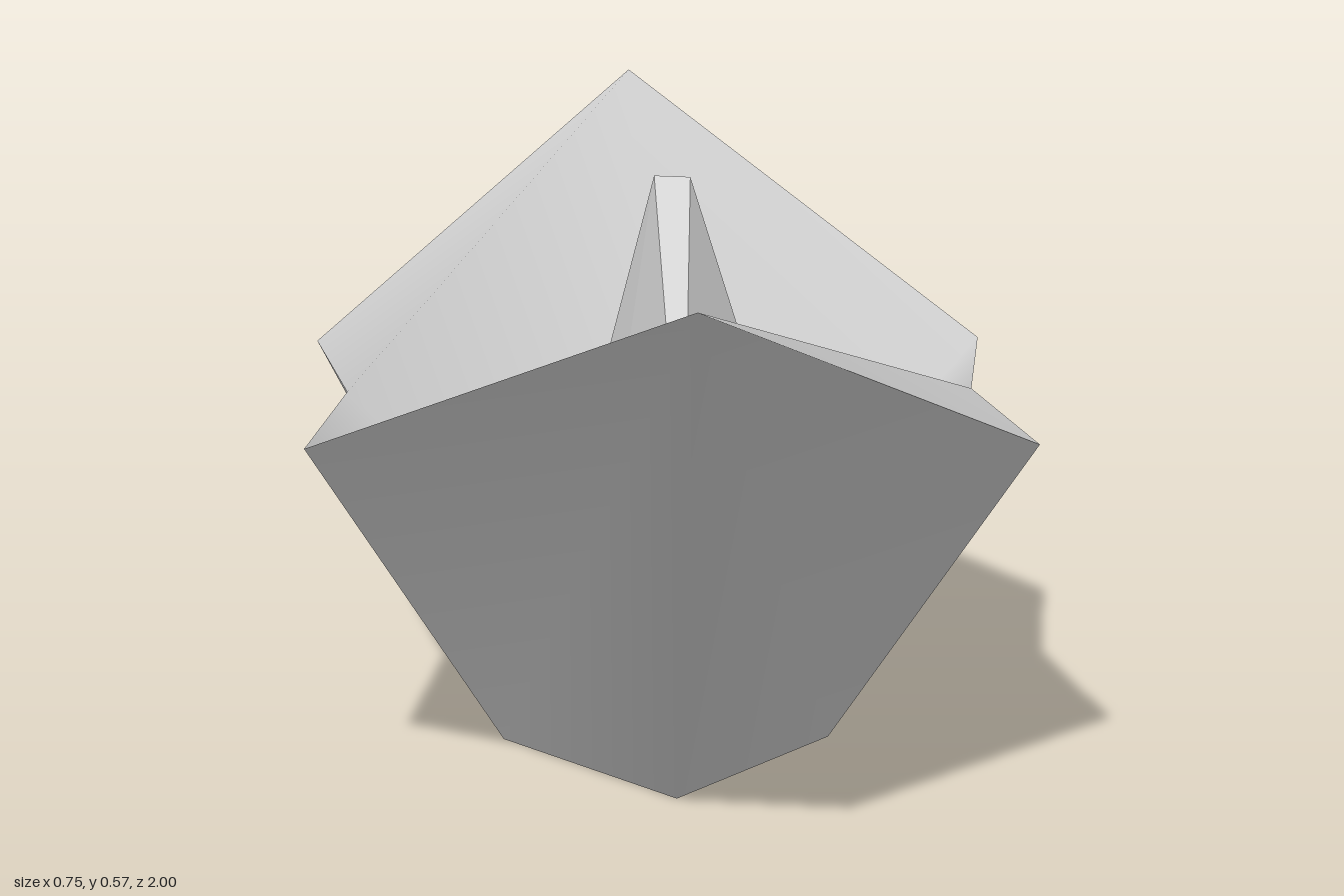
import * as THREE from 'three';
import { mergeVertices } from 'three/addons/utils/BufferGeometryUtils.js';

const material = new THREE.MeshStandardMaterial({ color: 0xcccccc, side: THREE.DoubleSide });
const flatMaterial = material.clone();
flatMaterial.flatShading = true;

// Builds a mesh from triangles of points, welded so its normals are smooth.
function panel(name, triangles, mat = material) {
  const geometry = new THREE.BufferGeometry();
  geometry.setAttribute('position', new THREE.Float32BufferAttribute(triangles.flat(2), 3));
  const welded = mergeVertices(geometry, 1e-4);
  welded.computeVertexNormals();
  const mesh = new THREE.Mesh(welded, mat);
  mesh.name = name;
  return mesh;
}

// The same triangles on the other side of the boat.
const mirror = (tris) => tris.map(([a, b, c]) => [a, c, b].map(([x, y, z]) => [-x, y, z]));
const both = (tris) => [...tris, ...mirror(tris)];

export function createModel() {
  const boat = new THREE.Group();
  boat.name = 'paperBoat';

  // Rim points on the +x side
  const bow = [0, 0.567, 1], stern = [0, 0.567, -1];
  const rimFront = [0.373, 0.34, 0.4], rimMid = [0.333, 0.34, 0.04], rimBack = [0.37, 0.34, -0.32];
  // Bottom points
  const keelFront = [0, 0, 0.51], keelBack = [0, 0, -0.4];
  const baseFront = [0.17, 0, 0.22], baseBack = [0.17, 0, -0.13];
  // Lowest point of the inside
  const well = [0, 0.01, 0.02];

  // Outer hull
  boat.add(panel('bowHull', both([
    [bow, keelFront, baseFront], [bow, baseFront, rimFront],
  ])));
  boat.add(panel('sternHull', both([
    [stern, baseBack, keelBack], [stern, rimBack, baseBack],
  ])));
  const side = [
    [rimFront, baseFront, rimMid], [baseFront, baseBack, rimMid], [rimMid, baseBack, rimBack],
  ];
  boat.add(panel('leftHull', side), panel('rightHull', mirror(side)));
  boat.add(panel('bottom', both([
    [keelFront, baseBack, baseFront], [keelFront, keelBack, baseBack],
  ])));

  // Inside valley: the rim is folded over at the left bow and the right stern,
  // and falls straight from the corner at the other two
  boat.add(panel('interior', [
    [rimFront, rimMid, bow], [bow, rimMid, well],
    [rimMid, rimBack, well], [rimBack, stern, well],
    ...mirror([
      [rimMid, rimBack, stern], [rimMid, stern, well],
      [rimFront, rimMid, well], [bow, rimFront, well],
    ]),
  ]));

  // Central peak: twisted pyramid with a short ridge on top
  const topL = [-0.005, 0.567, 0.012], topR = [0.033, 0.567, 0.025];
  const front = [0.015, 0.22, 0.302], back = [0.015, 0.2, -0.255];
  const right = [0.155, 0.18, 0.08], left = [-0.11, 0.15, -0.04];
  const backFold = [0.14, 0.09, -0.075], frontFold = [-0.083, 0.08, 0.12];
  const ring = [front, right, backFold, back, left, frontFold];
  const foot = ring.map(([x, , z]) => [x, 0.02, z]);
  const walls = ring.flatMap((p, i) => {
    const j = (i + 1) % ring.length;
    return [[p, foot[i], foot[j]], [p, foot[j], ring[j]]];
  });
  boat.add(panel('peak', [
    [topL, front, topR], [topR, front, right],
    [topR, right, backFold], [topR, backFold, back],
    [topR, back, topL], [topL, back, left],
    [topL, left, frontFold], [topL, frontFold, front],
    ...walls,
  ], flatMaterial));

  return boat;
}
